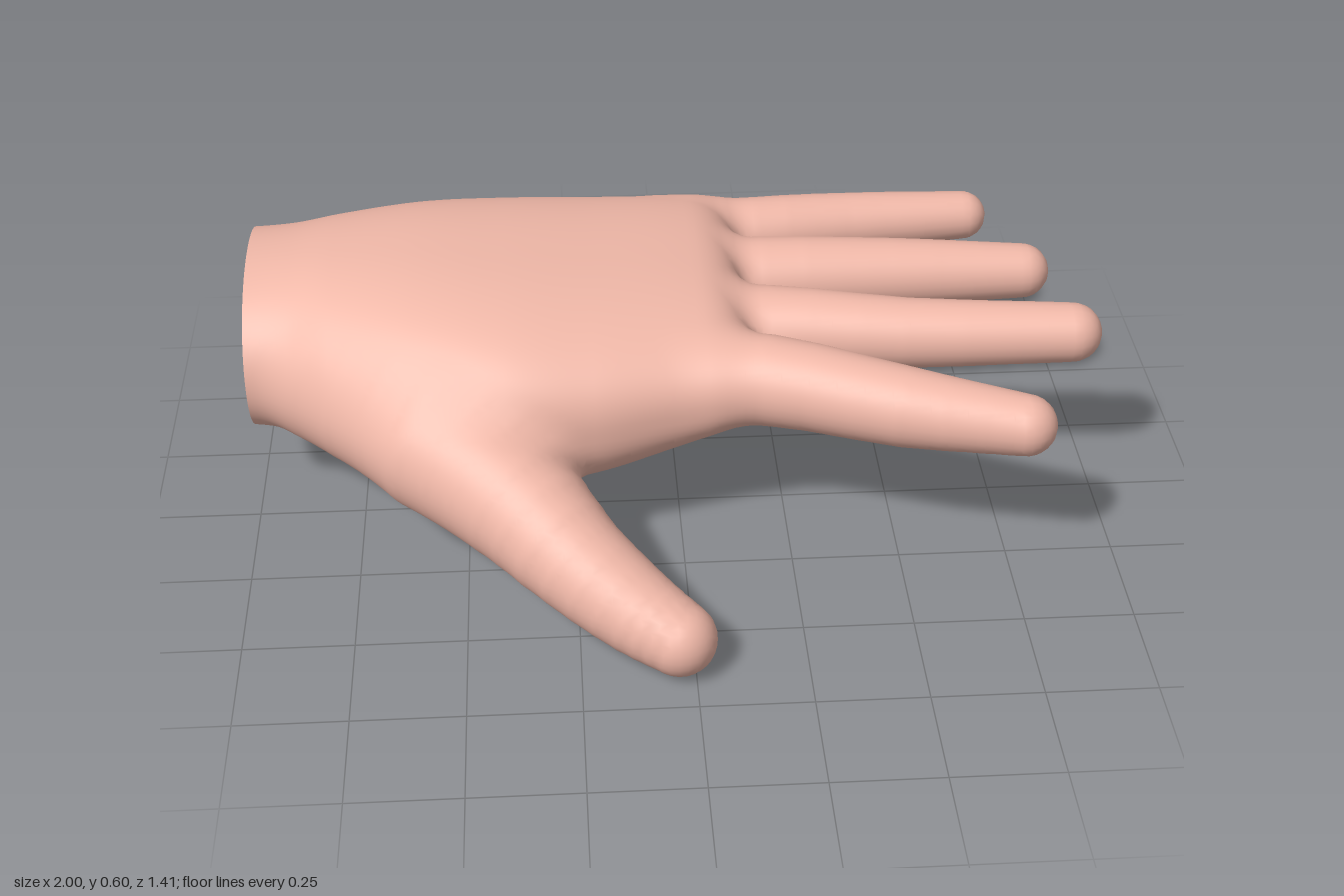
import * as THREE from 'three';

const SKIN = new THREE.MeshStandardMaterial({ color: 0xf0b8a8 });
const STEP = 0.02;                       // sampling step of the skin
const ORIGIN = [-1.01, -0.03, -0.75];
const COUNT = [103, 34, 76];

// Palm cross-sections along x: x, then z min, z max, y min, y max, roundness exponent
const PALM = [
  [-1.1, -0.57, 0.0, 0.15, 0.57, 2.1],
  [-1.0, -0.57, 0.0, 0.15, 0.57, 2.1],
  [-0.9, -0.58, 0.03, 0.145, 0.575, 2.15],
  [-0.8, -0.61, 0.09, 0.13, 0.585, 2.25],
  [-0.6, -0.655, 0.19, 0.105, 0.597, 2.4],
  [-0.4, -0.672, 0.245, 0.1, 0.592, 2.5],
  [-0.2, -0.677, 0.235, 0.13, 0.578, 2.5],
  [0.0, -0.677, 0.2, 0.19, 0.56, 2.5],
  [0.2, -0.675, 0.19, 0.28, 0.53, 2.5],
  [0.35, -0.675, 0.19, 0.31, 0.51, 2.5],
];

// Digits: blend width, then root-to-tip points as x, y, z, radius
const DIGITS = {
  indexFinger: [0.04, [0, 0.385, 0.05, 0.11], [0.2, 0.405, 0.1, 0.105], [0.5, 0.4, 0.22, 0.092], [0.757, 0.4, 0.308, 0.07]],
  middleFinger: [0.04, [0, 0.38, -0.15, 0.12], [0.22, 0.405, -0.125, 0.1], [0.54, 0.412, -0.07, 0.083], [0.927, 0.42, -0.036, 0.07]],
  ringFinger: [0.04, [0, 0.38, -0.36, 0.12], [0.22, 0.4, -0.36, 0.1], [0.54, 0.4, -0.365, 0.085], [0.868, 0.395, -0.362, 0.067]],
  littleFinger: [0.04, [0, 0.38, -0.56, 0.11], [0.22, 0.4, -0.582, 0.088], [0.46, 0.4, -0.617, 0.075], [0.765, 0.395, -0.645, 0.061]],
  thumb: [0.07, [-0.8, 0.33, -0.05, 0.13], [-0.555, 0.29, 0.137, 0.165], [-0.387, 0.24, 0.293, 0.145],
    [-0.25, 0.175, 0.45, 0.115], [-0.12, 0.115, 0.56, 0.097], [-0.035, 0.085, 0.62, 0.083]],
};

const palmCurve = new THREE.CubicInterpolant(PALM.map((s) => s[0]), PALM.flatMap((s) => s.slice(1)), 5);

function palmSection(x) {
  const [z0, z1, y0, y1, n] = palmCurve.evaluate(x);
  return { cz: (z0 + z1) / 2, a: (z1 - z0) / 2, cy: (y0 + y1) / 2, b: (y1 - y0) / 2, n };
}

function smoothMin(a, b, k) {
  const h = Math.max(k - Math.abs(a - b), 0) / k;
  return Math.min(a, b) - h * h * k / 4;
}

// Distance to the palm: superellipse sections with a rounded end at the knuckles
function palmDistance(x, y, z) {
  const { cz, a, cy, b, n } = palmSection(x);
  const u = Math.abs(z - cz) / a + 1e-5, v = Math.abs(y - cy) / b + 1e-5;
  const g = Math.pow(Math.pow(u, n) + Math.pow(v, n), 1 / n);
  const slope = Math.hypot(Math.pow(u / g, n - 1) / a, Math.pow(v / g, n - 1) / b);
  return -smoothMin(-(g - 1) / slope, 0.17 - x, 0.12);
}

// Distance to a digit: a tapering round tube along a smooth curve
function digitDistance(points) {
  const curve = new THREE.CatmullRomCurve3(points.map((p) => new THREE.Vector3(...p)));
  const last = points.length - 1, steps = last * 3;
  const path = Array.from({ length: steps + 1 }, (_, i) => {
    const p = curve.getPoint(i / steps), j = Math.min(Math.floor(i / 3), last - 1);
    return [p.x, p.y, p.z, THREE.MathUtils.lerp(points[j][3], points[j + 1][3], i / 3 - j)];
  });
  return (x, y, z) => {
    let best = Infinity;
    for (let i = 0; i < steps; i++) {
      const p = path[i], q = path[i + 1];
      const dx = q[0] - p[0], dy = q[1] - p[1], dz = q[2] - p[2];
      const ex = x - p[0], ey = y - p[1], ez = z - p[2];
      const t = Math.min(1, Math.max(0, (ex * dx + ey * dy + ez * dz) / (dx * dx + dy * dy + dz * dz)));
      best = Math.min(best, Math.hypot(ex - t * dx, ey - t * dy, ez - t * dz) - p[3] - t * (q[3] - p[3]));
    }
    return best;
  };
}

const parts = [{ name: 'palm', distance: palmDistance }];
for (const [name, [blend, ...points]] of Object.entries(DIGITS)) {
  parts.push({ name, blend, distance: digitDistance(points) });
}

// All parts blended into one skin
function field(x, y, z) {
  let d = parts[0].distance(x, y, z);
  for (let i = 1; i < parts.length; i++) d = smoothMin(d, parts[i].distance(x, y, z), parts[i].blend);
  return d;
}

function gradient([x, y, z], e = 0.006) {
  return new THREE.Vector3(
    field(x + e, y, z) - field(x - e, y, z),
    field(x, y + e, z) - field(x, y - e, z),
    field(x, y, z + e) - field(x, y, z - e),
  ).divideScalar(2 * e);
}

function nearestPart(p) {
  const d = parts.map((part) => part.distance(...p));
  return d.indexOf(Math.min(...d));
}

// Skin the blended field: one vertex per crossed cell, one quad per crossed edge
function buildSkin() {
  const [nx, ny, nz] = COUNT, stride = [1, nx, nx * ny];
  const at = (i, j, k) => [ORIGIN[0] + i * STEP, ORIGIN[1] + j * STEP, ORIGIN[2] + k * STEP];
  const values = new Float32Array(nx * ny * nz);
  const eachNode = (visit) => {
    for (let k = 0; k < nz; k++) for (let j = 0; j < ny; j++) for (let i = 0; i < nx; i++) {
      visit(i, j, k, i + j * stride[1] + k * stride[2]);
    }
  };
  eachNode((i, j, k, id) => { values[id] = field(...at(i, j, k)); });

  const positions = [], normals = [], owner = [], vertexOf = new Int32Array(values.length).fill(-1);
  eachNode((i, j, k, id) => {
    if (i === nx - 1 || j === ny - 1 || k === nz - 1) return;
    let inside = 0;
    for (let c = 0; c < 8; c++) {
      if (values[id + (c & 1) + ((c >> 1) & 1) * stride[1] + (c >> 2) * stride[2]] < 0) inside++;
    }
    if (inside === 0 || inside === 8) return;
    const p = at(i + 0.5, j + 0.5, k + 0.5);
    for (let pass = 0; pass < 3; pass++) {
      const g = gradient(p), move = field(...p) / Math.max(g.lengthSq(), 0.2);
      p[0] -= g.x * move; p[1] -= g.y * move; p[2] -= g.z * move;
    }
    if (i === 0) p[0] = -1;              // straight cut at the wrist
    vertexOf[id] = owner.length;
    positions.push(...p);
    normals.push(...gradient(p).normalize().toArray());
    owner.push(nearestPart(p));
  });

  const faces = parts.map(() => []);
  eachNode((i, j, k, id) => {
    const node = [i, j, k];
    for (let a = 0; a < 3; a++) {
      const b = (a + 1) % 3, c = (a + 2) % 3;
      if (node[a] === COUNT[a] - 1 || node[b] === 0 || node[c] === 0) continue;
      const inside = values[id] < 0;
      if (inside === values[id + stride[a]] < 0) continue;
      const q = [id - stride[b] - stride[c], id - stride[c], id, id - stride[b]].map((cell) => vertexOf[cell]);
      if (q.includes(-1)) continue;
      if (!inside) q.reverse();
      faces[owner[q[0]]].push(q[0], q[1], q[2], q[0], q[2], q[3]);
    }
  });

  return faces.map((index, n) => {
    const geometry = new THREE.BufferGeometry();
    geometry.setAttribute('position', new THREE.Float32BufferAttribute(positions, 3));
    geometry.setAttribute('normal', new THREE.Float32BufferAttribute(normals, 3));
    geometry.setIndex(index);
    const mesh = new THREE.Mesh(geometry.toNonIndexed(), SKIN);
    mesh.name = parts[n].name;
    return mesh;
  });
}

// Flat end of the wrist: a disc reshaped to the first palm section
function buildWristCap() {
  const { cz, a, cy, b, n } = palmSection(-1);
  const geometry = new THREE.CircleGeometry(1, 64), p = geometry.attributes.position;
  const bend = (t) => Math.sign(t) * Math.pow(Math.abs(t), 2 / n);
  for (let i = 0; i < p.count; i++) p.setXYZ(i, -1, cy + b * bend(p.getY(i)), cz + a * bend(p.getX(i)));
  geometry.computeVertexNormals();
  const mesh = new THREE.Mesh(geometry, SKIN);
  mesh.name = 'wristCap';
  return mesh;
}

export function createModel() {
  const hand = new THREE.Group();
  hand.name = 'hand';
  hand.add(...buildSkin(), buildWristCap());
  return hand;
}
